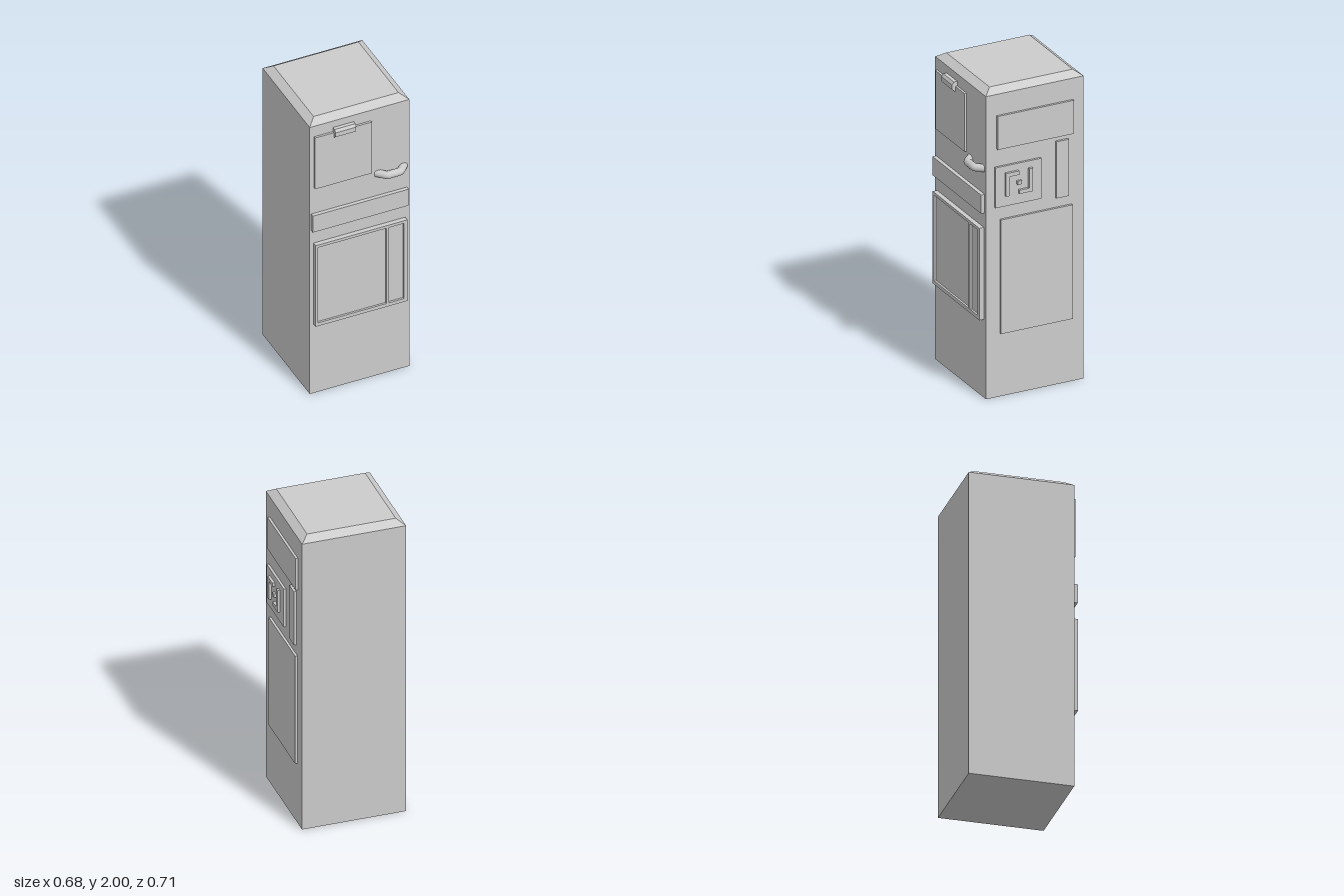
import * as THREE from 'three';

const FRONT = 0.293, SIDE = 0.31; // faces of the body that carry panels
const material = new THREE.MeshStandardMaterial({ color: 0xcccccc });

export function createModel() {
  const group = new THREE.Group();

  const add = (name, geometry) => {
    const mesh = new THREE.Mesh(geometry, material);
    mesh.name = name;
    group.add(mesh);
    return mesh;
  };

  // Box given by its limits on each axis
  const block = (name, [x0, x1], [y0, y1], [z0, z1]) =>
    add(name, new THREE.BoxGeometry(x1 - x0, y1 - y0, z1 - z0))
      .position.set((x0 + x1) / 2, (y0 + y1) / 2, (z0 + z1) / 2);

  const frontPanel = (name, x, y, z) => block(name, x, y, [FRONT - 0.01, z]);
  const sidePanel = (name, z, y, x = 0.325) => block(name, [SIDE - 0.01, x], y, z);

  const rectangle = (Type, [x0, x1], [y0, y1]) => new Type([
    new THREE.Vector2(x0, y0), new THREE.Vector2(x1, y0),
    new THREE.Vector2(x1, y1), new THREE.Vector2(x0, y1),
  ]);

  // Cabinet: a box whose top edges are chamfered inwards
  const cabinet = new THREE.BoxGeometry(0.652, 2, 0.651, 1, 2, 1).toNonIndexed();
  const p = cabinet.attributes.position;
  for (let i = 0; i < p.count; i++) {
    const y = p.getY(i);
    if (y > 0.5) p.setXYZ(i, p.getX(i) * 0.852, 2, p.getZ(i) * 0.852);
    else p.setY(i, y < -0.5 ? 0 : 1.966);
  }
  cabinet.computeVertexNormals();
  add('cabinet', cabinet).position.set(-0.016, 0, -0.0325);

  // Upper front panel and strip
  frontPanel('upperFrontPanel', [-0.313, 0.06], [1.511, 1.889], 0.307);
  frontPanel('frontStrip', [-0.332, 0.294], [1.204, 1.325], 0.317);

  // Clip over the top edge of the upper panel
  const clipProfile = new THREE.Shape([
    [-0.295, 1.857], [-0.31, 1.857], [-0.33, 1.872], [-0.33, 1.903], [-0.318, 1.92], [-0.295, 1.92],
  ].map(([z, y]) => new THREE.Vector2(z, y)));
  const clip = add('clip', new THREE.ExtrudeGeometry(clipProfile, { depth: 0.135, bevelEnabled: false }));
  clip.rotation.y = Math.PI / 2;
  clip.position.x = -0.19;

  // Lower front frame with two recessed panels
  const frameX = [-0.317, 0.283], frameY = [0.508, 1.106], recessY = [0.532, 1.087];
  const frame = rectangle(THREE.Shape, frameX, frameY);
  for (const x of [[-0.302, 0.146], [0.164, 0.261]]) frame.holes.push(rectangle(THREE.Path, x, recessY));
  add('lowerFrontFrame', new THREE.ExtrudeGeometry(frame, { depth: 0.035, bevelEnabled: false }))
    .position.z = 0.323 - 0.035;
  frontPanel('recessedPanels', [-0.31, 0.275], [0.52, 1.095], 0.31);

  // Bent handle with tight rounded corners
  const points = [[0.095, 0.281], [0.146, 0.332], [0.234, 0.332], [0.28, 0.281]]
    .map(([x, z]) => new THREE.Vector3(x, 1.486, z));
  const toward = (a, b) => a.clone().add(b.clone().sub(a).setLength(0.012));
  const path = new THREE.CurvePath();
  let from = points[0];
  for (const i of [1, 2]) {
    const enter = toward(points[i], points[i - 1]), leave = toward(points[i], points[i + 1]);
    path.add(new THREE.LineCurve3(from, enter));
    path.add(new THREE.QuadraticBezierCurve3(enter, points[i], leave));
    from = leave;
  }
  path.add(new THREE.LineCurve3(from, points[3]));
  add('handle', new THREE.TubeGeometry(path, 48, 0.024, 16, false));

  // Side panels
  sidePanel('upperSidePanel', [-0.286, 0.222], [1.611, 1.828]);
  sidePanel('narrowSidePanel', [-0.254, -0.17], [1.214, 1.582]);
  sidePanel('squareSidePanel', [-0.069, 0.236], [1.235, 1.497]);
  sidePanel('lowerSidePanel', [-0.278, 0.201], [0.41, 1.151]);

  // Raised brackets and stud on the square side panel
  sidePanel('bracketFrontBar', [0.151, 0.175], [1.303, 1.453], 0.341);
  sidePanel('bracketTopBar', [0.087, 0.151], [1.428, 1.453], 0.341);
  sidePanel('bracketBackBar', [-0.006, 0.02], [1.303, 1.453], 0.341);
  sidePanel('bracketBottomBar', [0.02, 0.085], [1.303, 1.327], 0.341);
  sidePanel('stud', [0.068, 0.096], [1.363, 1.387], 0.339);

  return group;
}
